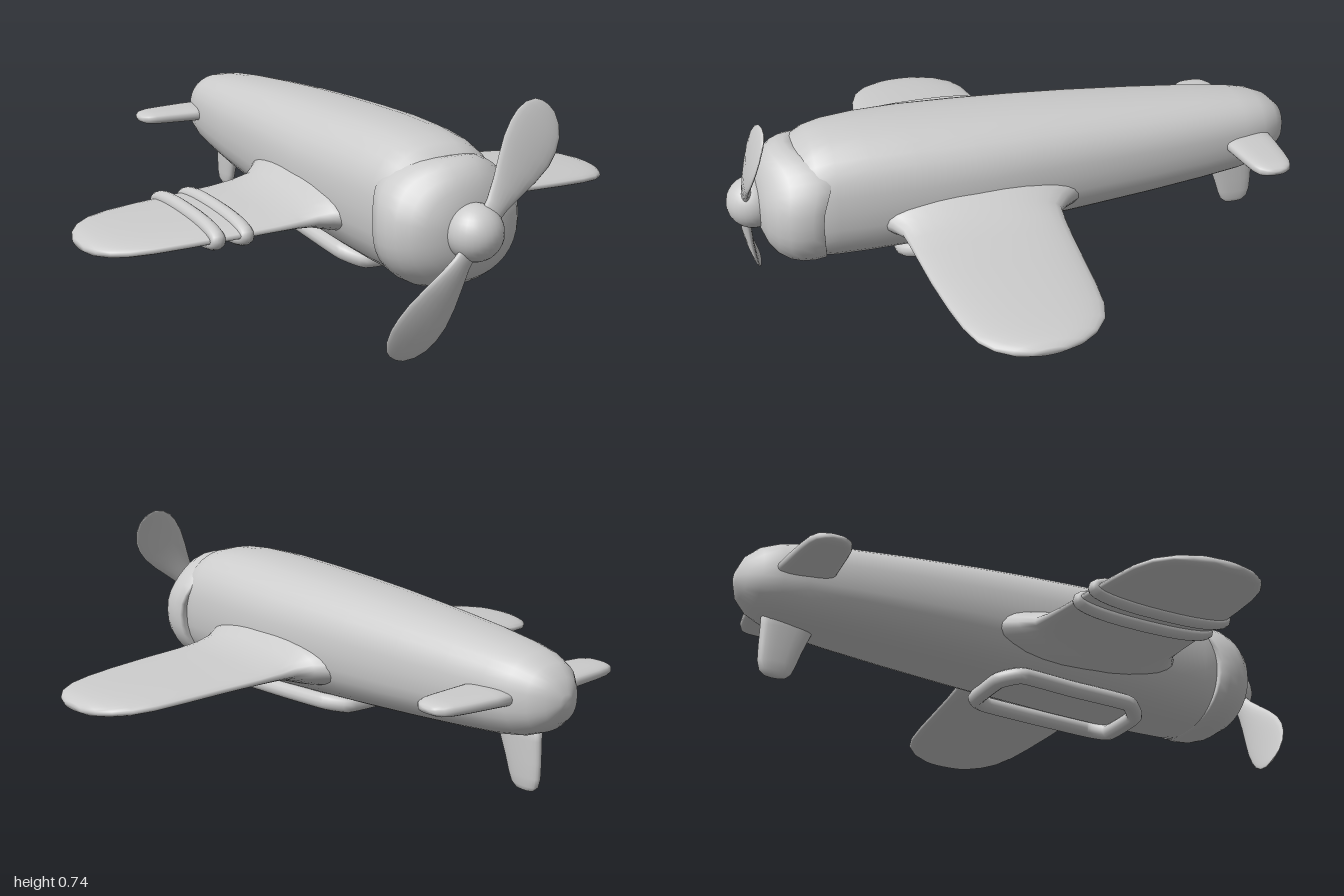
import * as THREE from 'three';

const material = new THREE.MeshStandardMaterial({ color: 0xcccccc });
const V = (x, y, z) => new THREE.Vector3(x, y, z);

// Closed skin through equally sized rings of points, ends fanned to their centres
function loft(rings) {
  const n = rings[0].length, m = rings.length, pts = rings.flat(), idx = [];
  for (let i = 0; i < m - 1; i++) {
    for (let j = 0; j < n; j++) {
      const k = (j + 1) % n, a = i * n + j, b = i * n + k;
      idx.push(a, b, b + n, a, b + n, a + n);
    }
  }
  const centre = ring => ring.reduce((s, p) => s.add(p), V(0, 0, 0)).divideScalar(n);
  const c0 = pts.length, c1 = c0 + 1, last = (m - 1) * n;
  pts.push(centre(rings[0]), centre(rings[m - 1]));
  for (let j = 0; j < n; j++) {
    const k = (j + 1) % n;
    idx.push(c0, k, j, c1, last + j, last + k);
  }
  // Turn the faces outwards, judged by the enclosed volume
  let volume = 0;
  for (let i = 0; i < idx.length; i += 3) {
    volume += pts[idx[i]].dot(pts[idx[i + 1]].clone().cross(pts[idx[i + 2]]));
  }
  if (volume < 0) idx.reverse();
  const g = new THREE.BufferGeometry().setFromPoints(pts);
  g.setIndex(idx);
  g.computeVertexNormals();
  return g;
}

// Ring of n points on a superellipse, placed by a function of (u, v, angle)
function ring(n, power, place) {
  const f = c => Math.sign(c) * Math.pow(Math.abs(c), 2 / power);
  return Array.from({ length: n }, (_, j) => {
    const t = (j / n) * Math.PI * 2;
    return place(f(Math.cos(t)), f(Math.sin(t)), t);
  });
}

// Sections along x: [x, front z, back z, top y, bottom y]
const loftX = (sections, power = 2) => loft(sections.map(([x, zf, zb, yt, yb]) =>
  ring(28, power, (u, v) => V(x, (yt + yb) / 2 + v * (yt - yb) / 2, (zf + zb) / 2 + u * (zf - zb) / 2))));

const WING = [
  [0.10, 0.56, -0.20, 0.42, 0.22], [0.20, 0.53, -0.17, 0.42, 0.245], [0.24, 0.50, -0.11, 0.405, 0.255],
  [0.28, 0.475, -0.07, 0.38, 0.268], [0.34, 0.468, -0.062, 0.358, 0.278], [0.42, 0.462, -0.055, 0.345, 0.28],
  [0.56, 0.453, -0.045, 0.336, 0.275], [0.70, 0.437, -0.036, 0.328, 0.267], [0.80, 0.42, -0.025, 0.321, 0.261],
  [0.87, 0.397, -0.002, 0.315, 0.257], [0.92, 0.36, 0.04, 0.308, 0.256], [0.95, 0.315, 0.09, 0.30, 0.257],
  [0.968, 0.26, 0.15, 0.289, 0.265],
];

export function createModel() {
  const group = new THREE.Group();
  const add = (name, geometry, parent = group) => {
    const mesh = new THREE.Mesh(geometry, material);
    mesh.name = name;
    parent.add(mesh);
    return mesh;
  };

  // Fuselage: [z, half width, top y, bottom y]
  const body = [
    [0.80, 0.13, 0.52, 0.24], [0.77, 0.18, 0.57, 0.19], [0.72, 0.203, 0.595, 0.168], [0.66, 0.213, 0.609, 0.164],
    [0.55, 0.225, 0.617, 0.165], [0.40, 0.235, 0.617, 0.17], [0.20, 0.238, 0.609, 0.178], [0, 0.228, 0.60, 0.189],
    [-0.20, 0.215, 0.588, 0.20], [-0.45, 0.196, 0.568, 0.217], [-0.65, 0.174, 0.55, 0.232], [-0.80, 0.153, 0.532, 0.246],
    [-0.88, 0.135, 0.517, 0.26], [-0.94, 0.108, 0.493, 0.283], [-0.98, 0.07, 0.457, 0.318], [-1.0, 0.025, 0.41, 0.365],
  ];
  add('fuselage', loft(body.map(([z, w, t, b]) =>
    ring(32, 2.4, (u, v) => V(u * w, (t + b) / 2 + v * (t - b) / 2, z)))));

  // Engine cowl: [z, scale]; its rear lip is scalloped around the rim
  const lip = t => {
    const s = Math.sin(t);
    return s > 0 ? 0.715 - 0.045 * Math.sin(2 * t) ** 2 + 0.055 * s ** 6 : 0.715 - 0.02 * s * s;
  };
  const cowl = [[0, 0.93], [0.01, 0.985], [0.2, 1], [0.40, 0.985], [0.58, 0.93], [0.76, 0.81], [0.89, 0.64], [0.97, 0.42], [1, 0.18]];
  add('engineCowl', loft(cowl.map(([k, s]) =>
    ring(36, 2.25, (u, v, t) => V(u * 0.235 * s, 0.367 + v * 0.205 * s, THREE.MathUtils.lerp(lip(t), 0.905, k))))));

  // Propeller with two cupped, slightly twisted blades
  const propeller = new THREE.Group();
  propeller.name = 'propeller';
  propeller.position.y = 0.37;
  group.add(propeller);
  const hub = add('spinner', new THREE.SphereGeometry(0.088, 28, 18), propeller);
  hub.position.z = 0.912;
  // [radius, half width, z, half thickness]
  const blade = [
    [0.03, 0.028, 0.935, 0.016], [0.10, 0.037, 0.935, 0.016], [0.16, 0.055, 0.935, 0.015], [0.22, 0.075, 0.932, 0.014],
    [0.28, 0.09, 0.926, 0.013], [0.33, 0.092, 0.918, 0.012], [0.37, 0.085, 0.909, 0.010], [0.405, 0.067, 0.899, 0.008],
    [0.43, 0.04, 0.89, 0.006], [0.438, 0.015, 0.886, 0.004],
  ];
  for (let i = 0; i < 2; i++) {
    const mesh = add('propellerBlade', loft(blade.map(([r, w, z, d]) =>
      ring(20, 2, (u, v) => V(u * w, r, z + v * d + u * w * 0.15)))), propeller);
    mesh.rotation.z = -0.63 + i * Math.PI;
  }

  // Wings and tailplanes, mirrored left and right
  const tail = [
    [0.08, -0.715, -0.905, 0.42, 0.365], [0.18, -0.722, -0.897, 0.42, 0.368], [0.28, -0.73, -0.886, 0.418, 0.37],
    [0.33, -0.736, -0.877, 0.417, 0.371], [0.36, -0.747, -0.864, 0.413, 0.374], [0.377, -0.768, -0.842, 0.406, 0.381],
    [0.382, -0.79, -0.82, 0.398, 0.389],
  ];
  for (const side of [1, -1]) {
    const name = side > 0 ? 'left' : 'right';
    const mirror = sections => sections.map(([x, ...rest]) => [x * side, ...rest]);
    add(name + 'Wing', loftX(mirror(WING), 2.2));
    add(name + 'Tailplane', loftX(mirror(tail), 2.8));
  }

  // Two rounded bands wrapped around the right wing
  for (const x of [-0.515, -0.61]) {
    const sections = [];
    for (let i = 0; i <= 8; i++) {
      const a = (i / 8 - 0.5) * Math.PI, g = 0.024 * Math.cos(a);
      sections.push([x + 0.024 * Math.sin(a), 0.447 + g * 0.8, -0.041 - g * 0.8, 0.334 + g, 0.273 - g]);
    }
    add('wingBand', loftX(sections, 2.6));
  }

  // Fin below the tail: [y, front z, back z, half width]
  const fin = [
    [0.30, -0.71, -0.905, 0.026], [0.24, -0.735, -0.905, 0.025], [0.17, -0.763, -0.906, 0.023], [0.12, -0.78, -0.905, 0.021],
    [0.09, -0.793, -0.897, 0.018], [0.075, -0.81, -0.88, 0.012], [0.071, -0.832, -0.86, 0.005],
  ];
  add('ventralFin', loft(fin.map(([y, f, b, w]) =>
    ring(24, 2.4, (u, v) => V(v * w, y, (f + b) / 2 + u * (f - b) / 2)))));

  // Tubular frame under the belly
  const half = [[0.085, 0.152, 0.43], [0.14, 0.172, 0.37], [0.14, 0.18, 0.15], [0.14, 0.19, -0.04], [0.085, 0.182, -0.1]];
  const path = [
    ...half.map(([x, y, z]) => V(x, y, z)),
    ...half.map(([x, y, z]) => V(-x, y, z)).reverse(),
  ];
  add('bellyFrame', new THREE.TubeGeometry(new THREE.CatmullRomCurve3(path, true, 'catmullrom', 0.2), 96, 0.028, 12, true));

  return group;
}
